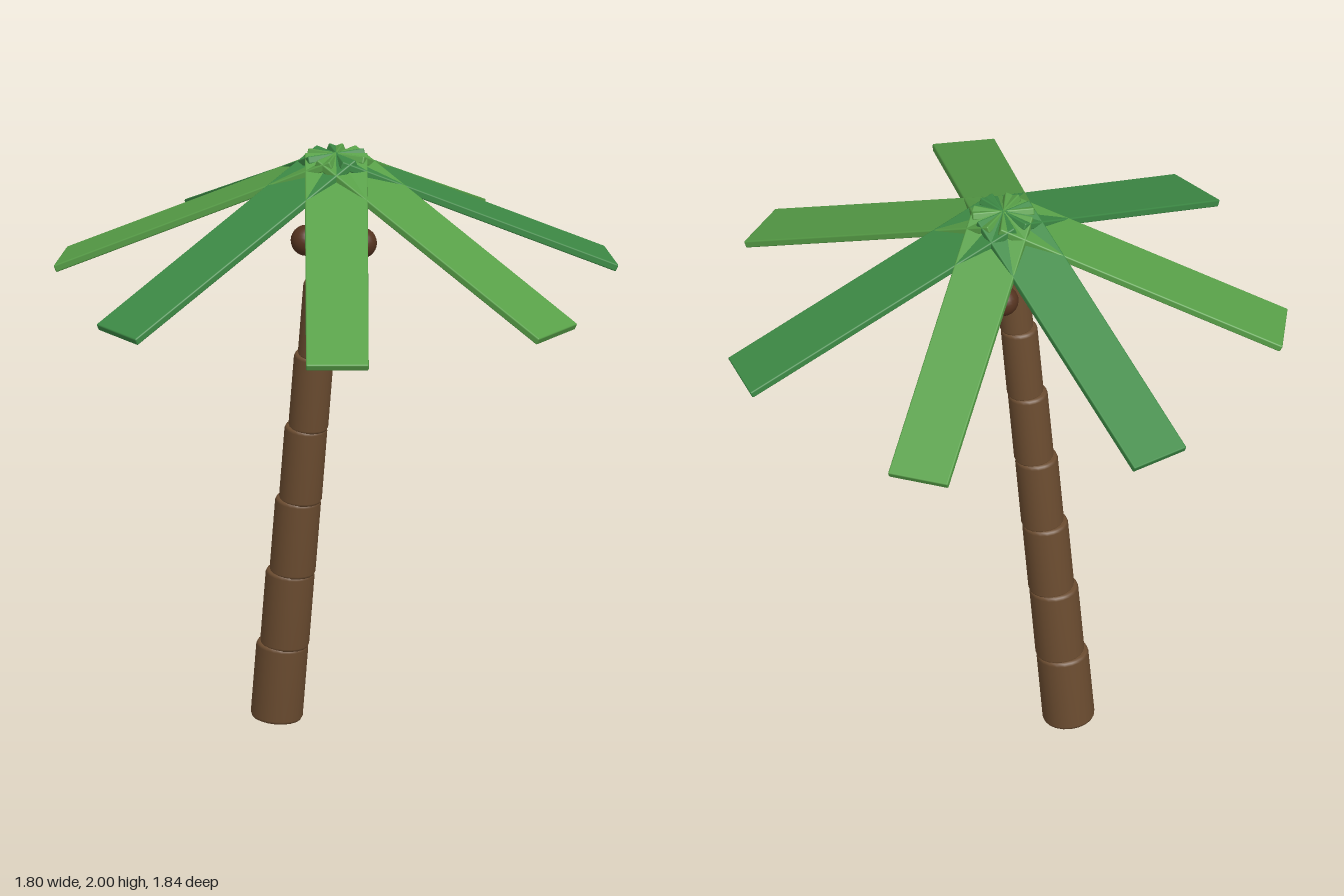
import * as THREE from 'three';
import { RoundedBoxGeometry } from 'three/addons/geometries/RoundedBoxGeometry.js';

const mat = (color) => new THREE.MeshStandardMaterial({ color });

// One trunk section: a cylinder with softened rims, standing on its origin
function sectionGeometry(radius, height) {
  const b = 0.012;
  const profile = [
    [0, 0], [radius - b, 0], [radius - b * 0.3, b * 0.3], [radius, b],
    [radius, height - b], [radius - b * 0.3, height - b * 0.3], [radius - b, height], [0, height],
  ].map(([x, y]) => new THREE.Vector2(x, y));
  return new THREE.LatheGeometry(profile, 20);
}

export function createModel() {
  const palm = new THREE.Group();
  palm.name = 'palmTree';
  const bark = mat(0x6b4c30);
  const shell = mat(0x55331f);
  const greens = [mat(0x58a048), mat(0x3d8a45)];
  const crownX = -0.025;

  // Leaning trunk of seven stacked, shrinking sections
  const trunk = new THREE.Group();
  trunk.name = 'trunk';
  for (let i = 0; i < 7; i++) {
    const section = new THREE.Mesh(sectionGeometry(0.085 - i * 0.005, 0.265), bark);
    section.name = 'trunkSection';
    section.position.set(-0.273 + i * 0.0328, 0.008 + i * 0.2545, 0);
    section.rotation.z = -0.095;
    trunk.add(section);
  }
  palm.add(trunk);

  // Seven flat fronds sloping down from the crown, in two alternating greens
  const crown = new THREE.Group();
  crown.name = 'crown';
  crown.position.set(crownX, 2, 0);
  const length = 1.017, thickness = 0.025;
  const frondGeometry = new RoundedBoxGeometry(length, thickness, 0.205, 2, 0.005);
  frondGeometry.translate(length / 2, -thickness / 2, 0);
  for (let i = 0; i < 7; i++) {
    const frond = new THREE.Mesh(frondGeometry, greens[i % 2]);
    frond.name = 'frond';
    frond.rotation.set(0, (i * Math.PI * 2) / 7, -0.431, 'XYZ');
    crown.add(frond);
  }
  palm.add(crown);

  // Three coconuts around the top of the trunk
  const nutGeometry = new THREE.SphereGeometry(0.051, 20, 14);
  for (let i = 0; i < 3; i++) {
    const a = (i * Math.PI * 2) / 3;
    const nut = new THREE.Mesh(nutGeometry, shell);
    nut.name = 'coconut';
    nut.position.set(crownX + Math.cos(a) * 0.105, 1.71, Math.sin(a) * 0.105);
    palm.add(nut);
  }
  return palm;
}
